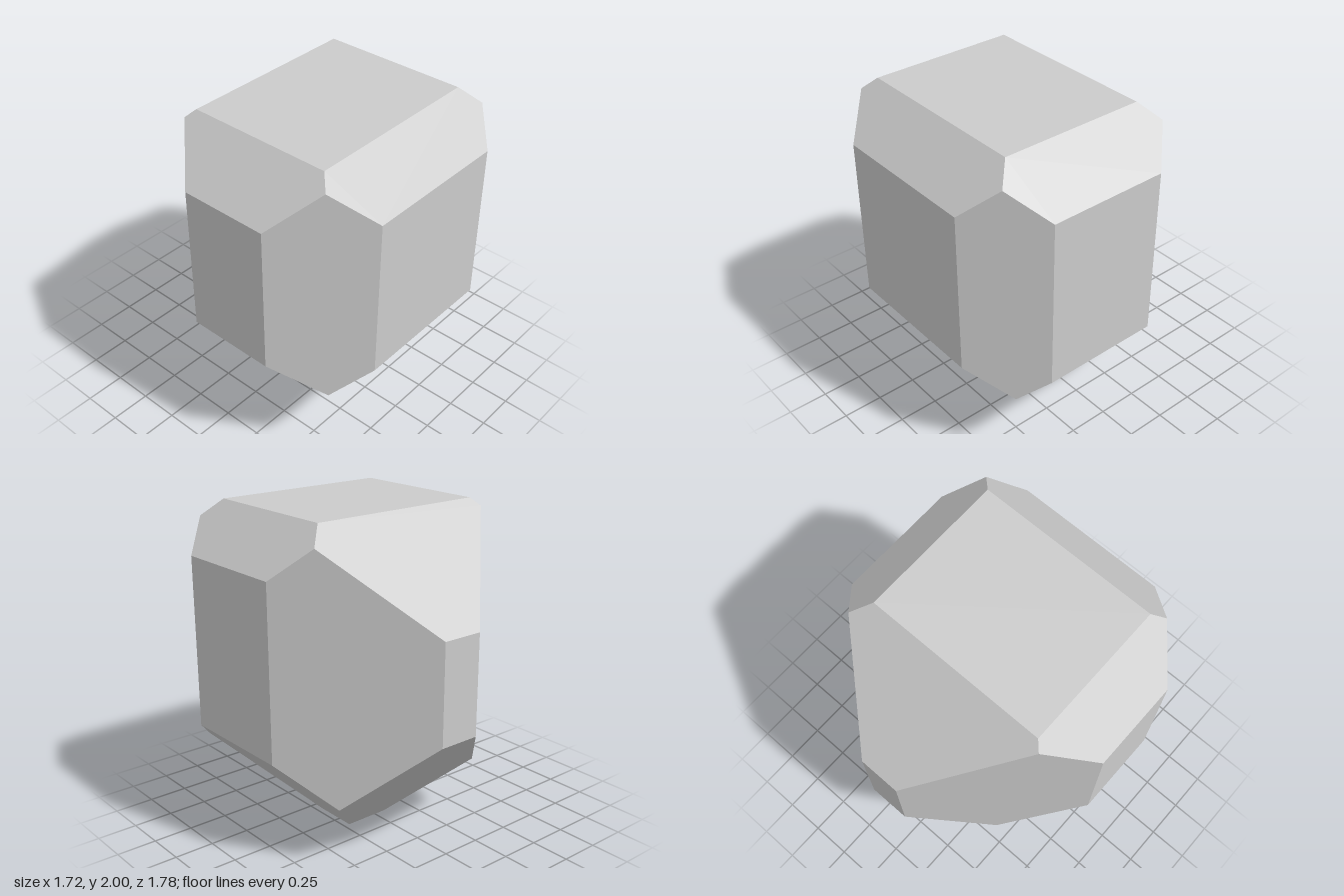
import * as THREE from 'three';

// Facet planes [nx, ny, nz, d] : the solid is where n . p <= d
const PLANES = [
  // box faces
  [1, 0, 0, 0.862], [-1, 0, 0, 0.862],
  [0, 1, 0, 2], [0, -1, 0, 0],
  [0, 0, 1, 0.889], [0, 0, -1, 0.889],
  // 45 degree cuts along the edges parallel to z
  [1, 1, 0, 2.575], [-1, 1, 0, 2.565], [1, -1, 0, 0.212], [-1, -1, 0, 0.075],
  // cuts along the edges parallel to x
  [0, 1, 1, 2.615], [0, 1, -1, 2.297], [0, -1, 1, 0.168], [0, -1, -1, 0.1],
  // cuts along the edges parallel to y
  [1, 0, 1, 1.397], [-1, 0, 1, 1.32], [1, 0, -1, 1.08], [-1, 0, -1, 0.957],
].map(([x, y, z, d]) => ({ n: new THREE.Vector3(x, y, z), d }));

const EPS = 1e-6;

// Corners: every point where three planes meet inside all the others
function findCorners(planes) {
  const corners = [];
  for (let i = 0; i < planes.length; i++)
    for (let j = i + 1; j < planes.length; j++)
      for (let k = j + 1; k < planes.length; k++) {
        const [a, b, c] = [planes[i], planes[j], planes[k]];
        const bc = b.n.clone().cross(c.n);
        const det = a.n.dot(bc);
        if (Math.abs(det) < EPS) continue;
        const p = bc.multiplyScalar(a.d)
          .addScaledVector(c.n.clone().cross(a.n), b.d)
          .addScaledVector(a.n.clone().cross(b.n), c.d)
          .divideScalar(det);
        const inside = planes.every(({ n, d }) => n.dot(p) <= d + EPS);
        if (inside && !corners.some((q) => q.distanceTo(p) < 1e-4)) corners.push(p);
      }
  return corners;
}

// Facets: corners on each plane, ordered around its normal and fanned
function facetedSolid(planes) {
  const corners = findCorners(planes);
  const positions = [];
  for (const { n, d } of planes) {
    const ring = corners.filter((p) => Math.abs(n.dot(p) - d) < 1e-4);
    if (ring.length < 3) continue;
    const centre = ring.reduce((s, p) => s.add(p), new THREE.Vector3()).divideScalar(ring.length);
    const u = ring[0].clone().sub(centre).normalize();
    const v = n.clone().normalize().cross(u);
    const angle = (p) => {
      const r = p.clone().sub(centre);
      return Math.atan2(r.dot(v), r.dot(u));
    };
    ring.sort((p, q) => angle(p) - angle(q));
    for (let i = 1; i < ring.length - 1; i++)
      for (const p of [ring[0], ring[i], ring[i + 1]]) positions.push(p.x, p.y, p.z);
  }
  const geometry = new THREE.BufferGeometry();
  geometry.setAttribute('position', new THREE.Float32BufferAttribute(positions, 3));
  geometry.computeVertexNormals();
  return geometry;
}

export function createModel() {
  const group = new THREE.Group();
  group.name = 'facetedStone';
  const material = new THREE.MeshStandardMaterial({ color: 0xcccccc, flatShading: true });
  const stone = new THREE.Mesh(facetedSolid(PLANES), material);
  stone.name = 'stone';
  group.add(stone);
  return group;
}
